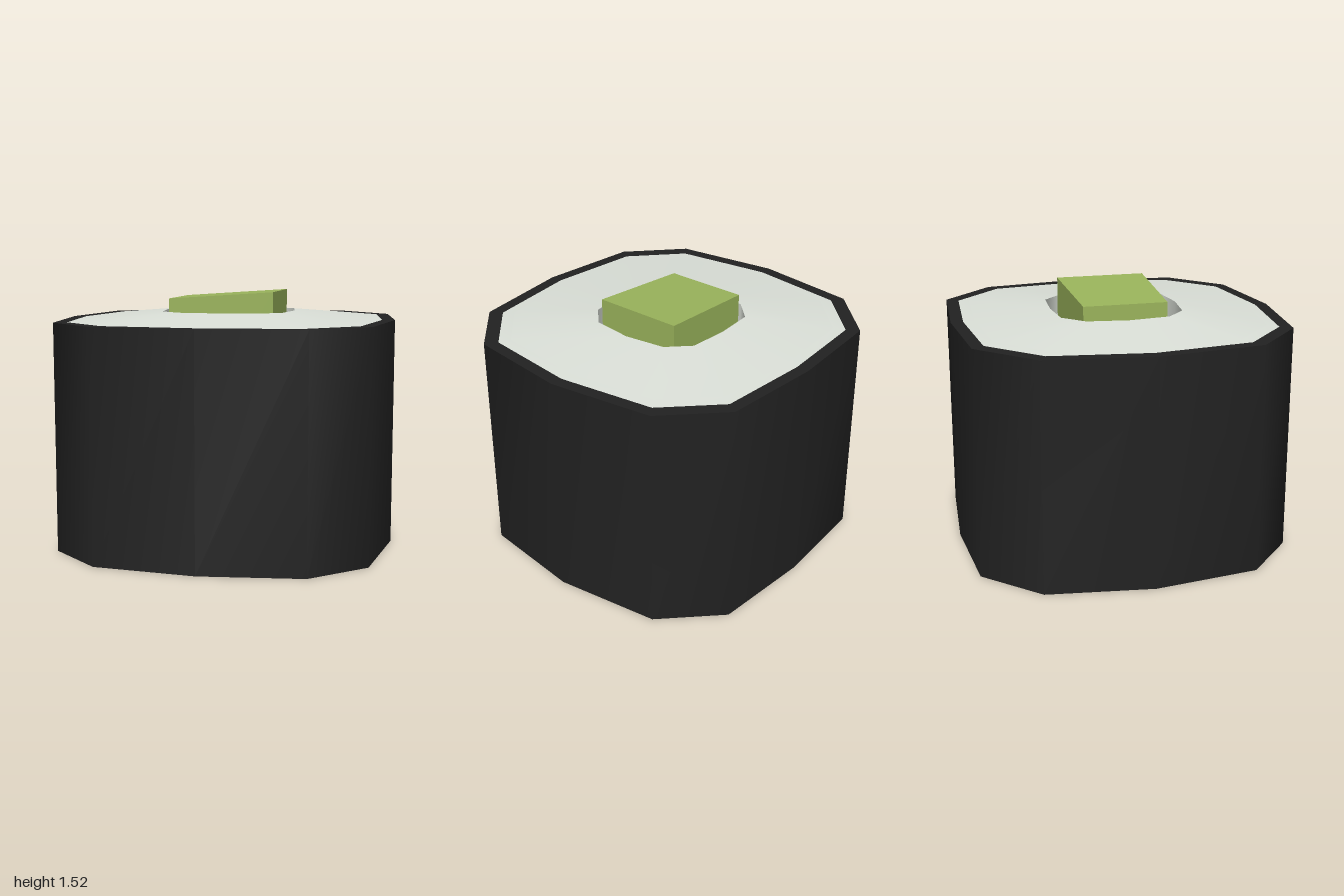
import * as THREE from 'three';

// Outline of the roll: a rounded square with twelve corners, [x, z], counterclockwise from above
const OUTLINE = [
  [0, 0.985], [0.606, 0.915], [0.916, 0.625], [1, 0], [0.916, -0.625], [0.606, -0.935],
  [0, -0.978], [-0.606, -0.935], [-0.916, -0.625], [-1, 0], [-0.916, 0.625], [-0.606, 0.915],
];
const CENTRE_Z = -0.013;

// One smooth band between two scaled outlines, each given as [scale, y]
function band([s0, y0], [s1, y1], material, name) {
  const n = OUTLINE.length;
  const positions = [];
  const index = [];
  for (const [s, y] of [[s0, y0], [s1, y1]]) {
    for (const [x, z] of OUTLINE) positions.push(x * s, y, z * s + CENTRE_Z);
  }
  for (let i = 0; i < n; i++) {
    const j = (i + 1) % n;
    index.push(i, j, n + j, i, n + j, n + i);
  }
  const geometry = new THREE.BufferGeometry();
  geometry.setAttribute('position', new THREE.Float32BufferAttribute(positions, 3));
  geometry.setIndex(index);
  geometry.computeVertexNormals();
  const mesh = new THREE.Mesh(geometry, material);
  mesh.name = name;
  return mesh;
}

// Chain of bands along a profile, with crisp edges between them
function shell(profile, material, name, partNames) {
  const group = new THREE.Group();
  group.name = name;
  partNames.forEach((part, i) => group.add(band(profile[i], profile[i + 1], material, part)));
  return group;
}

export function createModel() {
  const seaweed = new THREE.MeshStandardMaterial({ color: 0x222222 });
  seaweed.name = 'seaweedBlack';
  const rice = new THREE.MeshStandardMaterial({ color: 0xdce1d9, side: THREE.DoubleSide });
  rice.name = 'riceWhite';
  const green = new THREE.MeshStandardMaterial({ color: 0x9bb55c });
  green.name = 'fillingGreen';

  const model = new THREE.Group();
  model.name = 'riceRoll';

  // Seaweed wrapper, open at the bottom
  model.add(shell(
    [[1, 0], [1, 1.35], [0.925, 1.35], [0.925, 0], [1, 0]],
    seaweed, 'seaweedWrapper', ['outerWall', 'topRim', 'innerWall', 'bottomRim'],
  ));

  // Rice: gently sloping top and a sleeve around the filling
  model.add(shell(
    [[0.925, 1.35], [0.86, 1.356], [0.395, 1.4], [0.395, 0.4]],
    rice, 'rice', ['riceEdge', 'riceTop', 'riceSleeve'],
  ));

  // Filling: a stick that narrows towards -x
  const stick = new THREE.BoxGeometry(0.632, 1.085, 0.543);
  const p = stick.attributes.position;
  for (let i = 0; i < p.count; i++) {
    if (p.getX(i) < 0) p.setXYZ(i, p.getX(i), p.getY(i) * 0.922, p.getZ(i) * 0.922);
  }
  stick.computeVertexNormals();
  const filling = new THREE.Mesh(stick, green);
  filling.name = 'filling';
  filling.position.set(-0.01, 0.977, -0.02);
  model.add(filling);

  return model;
}
